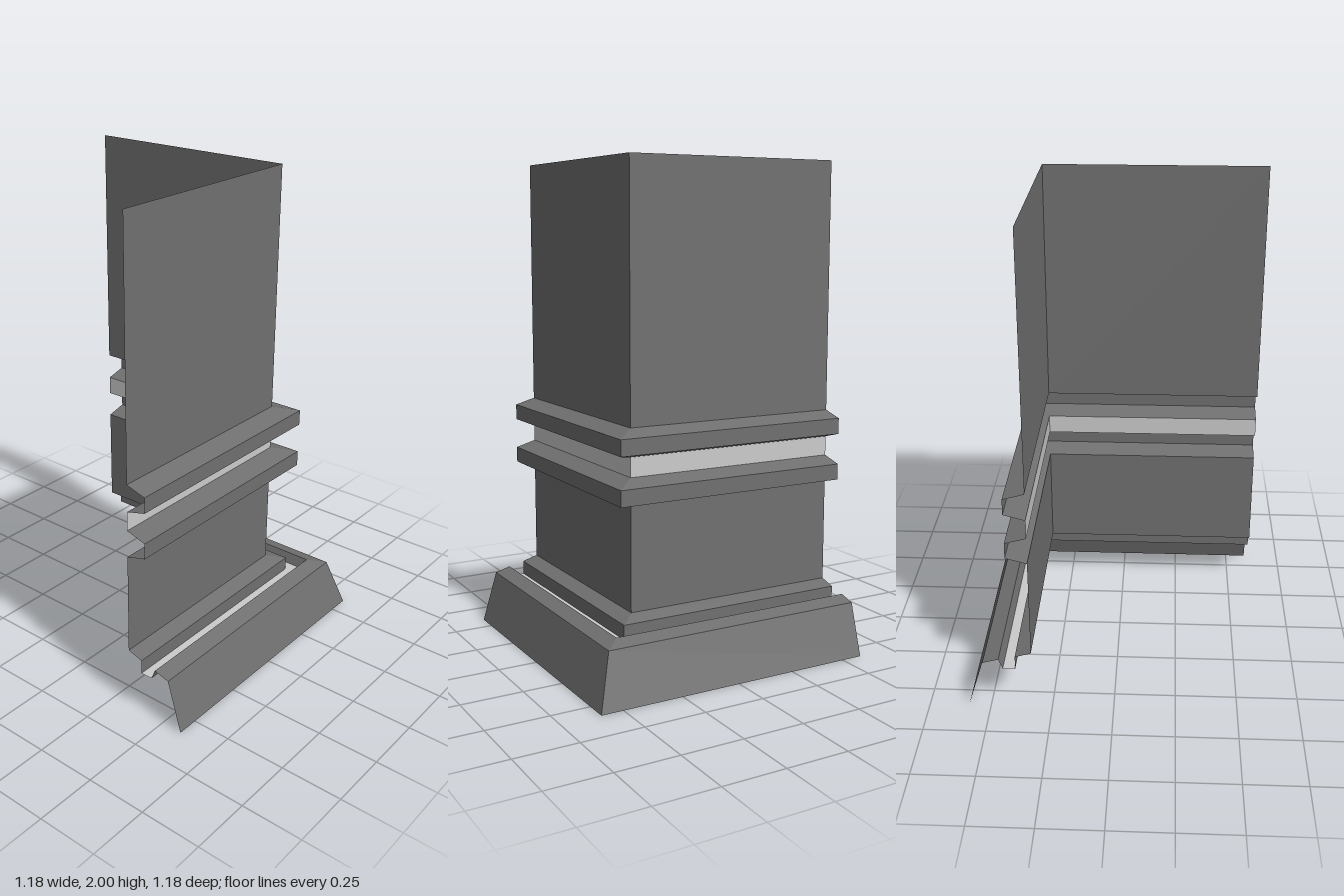
import * as THREE from 'three';

const END = -0.59; // where both wings stop

const darkGrey = new THREE.MeshStandardMaterial({ color: 0x707070, side: THREE.DoubleSide, flatShading: true });
const paleGrey = new THREE.MeshStandardMaterial({ color: 0xcccccc, side: THREE.DoubleSide, flatShading: true });

// Sweeps a profile of [offset, y] points, top to bottom, round the mitred corner
function cornerStrip(name, profile, material) {
  const positions = [];
  const index = [];
  for (const [d, y] of profile) positions.push(END, y, d, d, y, d, d, y, END);
  for (let row = 0; row < profile.length - 1; row++) {
    for (let wing = 0; wing < 2; wing++) {
      const a = row * 3 + wing;
      index.push(a, a + 3, a + 4, a, a + 4, a + 1);
    }
  }
  const indexed = new THREE.BufferGeometry();
  indexed.setAttribute('position', new THREE.Float32BufferAttribute(positions, 3));
  indexed.setIndex(index);
  const geometry = indexed.toNonIndexed();
  geometry.computeVertexNormals();
  const mesh = new THREE.Mesh(geometry, material);
  mesh.name = name;
  return mesh;
}

export function createModel() {
  const group = new THREE.Group();
  group.name = 'cornerWall';
  const wall = 0.33;

  // Plain wall faces
  group.add(cornerStrip('upperWall', [[wall, 2], [wall, 0.985]], darkGrey));
  group.add(cornerStrip('lowerWall', [[wall, 0.682], [wall, 0.262]], darkGrey));

  // Two bevelled rails with a pale band between them
  for (const [name, top] of [['upperRail', 0.985], ['lowerRail', 0.794]]) {
    group.add(cornerStrip(name, [
      [wall, top], [0.415, top - 0.024], [0.415, top - 0.089], [wall, top - 0.112],
    ], darkGrey));
  }
  group.add(cornerStrip('paleBand', [[wall, 0.873], [wall, 0.794]], paleGrey));

  // Ledge, pale channel and sloping skirting
  group.add(cornerStrip('ledge', [[wall, 0.262], [0.395, 0.243], [0.395, 0.185]], darkGrey));
  group.add(cornerStrip('channelFloor', [[0.395, 0.185], [0.445, 0.185]], paleGrey));
  group.add(cornerStrip('skirting', [[0.445, 0.185], [0.462, 0.228], [0.527, 0.21], [0.59, 0]], darkGrey));

  return group;
}
